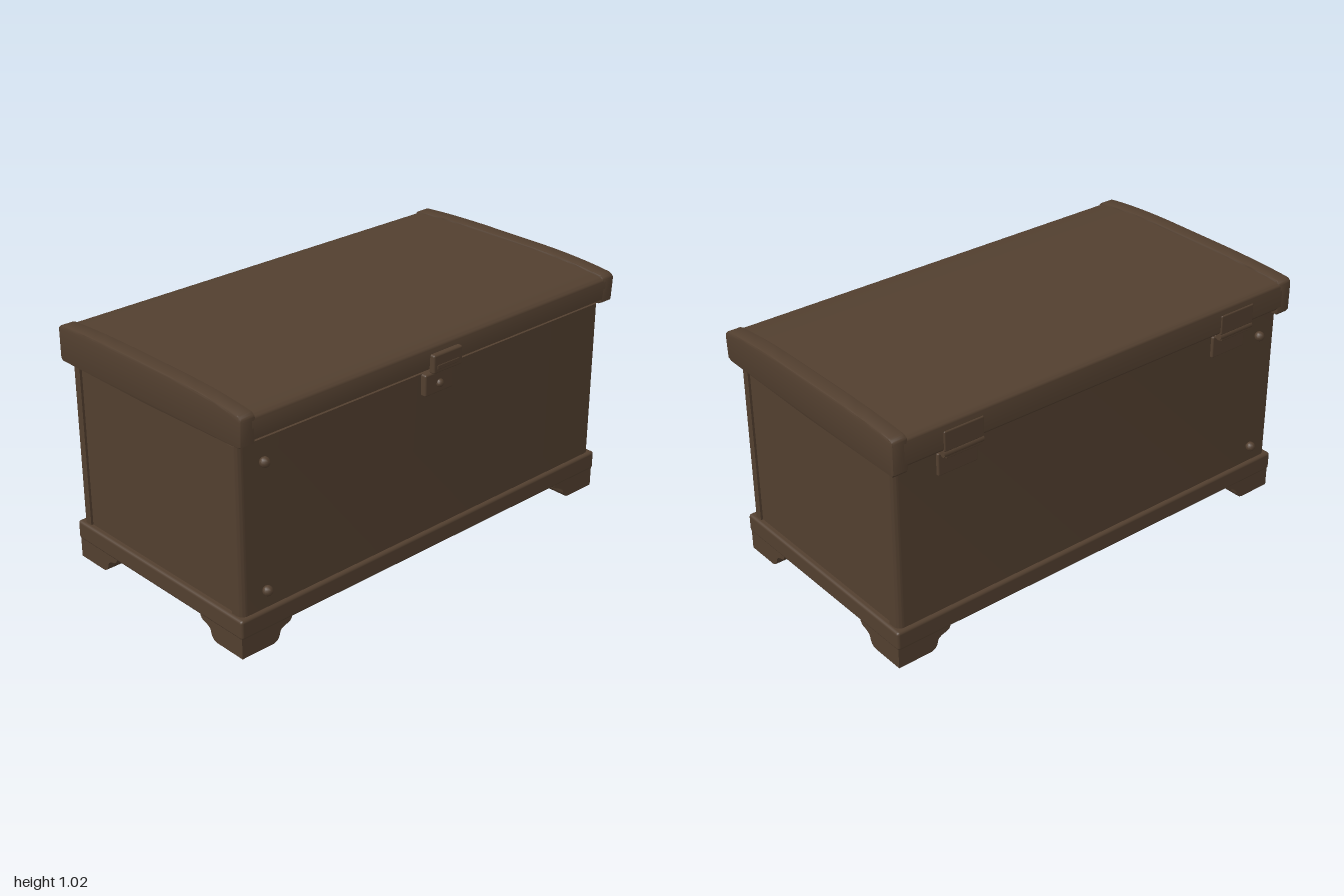
import * as THREE from 'three';
import { toCreasedNormals } from 'three/addons/utils/BufferGeometryUtils.js';
import { RoundedBoxGeometry } from 'three/addons/geometries/RoundedBoxGeometry.js';

export function createModel() {
  const chest = new THREE.Group();
  chest.name = 'chest';
  const brown = new THREE.MeshStandardMaterial({ color: 0x523f2f });
  brown.name = 'dark brown wood';
  const CX = -0.01, CZ = 0.005; // centre of the body

  const add = (name, geometry, x = 0, y = 0, z = 0, parent = chest) => {
    const mesh = new THREE.Mesh(geometry, brown);
    mesh.name = name;
    mesh.position.set(x, y, z);
    parent.add(mesh);
    return mesh;
  };
  const rounded = (w, h, d, r) => new RoundedBoxGeometry(w, h, d, 2, r);
  const extrude = (shape, depth, bevel = 0) => {
    const geo = new THREE.ExtrudeGeometry(shape, {
      depth: depth - 2 * bevel, curveSegments: 6, bevelEnabled: bevel > 0,
      bevelThickness: bevel, bevelSize: bevel, bevelOffset: -bevel, bevelSegments: 2,
    });
    geo.translate(0, 0, bevel);
    return toCreasedNormals(geo, 0.6);
  };

  // Body: rounded corner posts with slightly recessed end panels
  const X = 0.4975, Z = 0.98, r = 0.03, post = 0.055, inset = 0.01;
  const plan = new THREE.Shape();
  plan.moveTo(X, -Z + r);
  plan.lineTo(X, Z - r);
  plan.absarc(X - r, Z - r, r, 0, Math.PI / 2, false);
  plan.lineTo(X - post, Z);
  plan.lineTo(X - post, Z - inset);
  plan.lineTo(-X + post, Z - inset);
  plan.lineTo(-X + post, Z);
  plan.absarc(-X + r, Z - r, r, Math.PI / 2, Math.PI, false);
  plan.lineTo(-X, -Z + r);
  plan.absarc(-X + r, -Z + r, r, Math.PI, Math.PI * 1.5, false);
  plan.lineTo(-X + post, -Z);
  plan.lineTo(-X + post, -Z + inset);
  plan.lineTo(X - post, -Z + inset);
  plan.lineTo(X - post, -Z);
  plan.absarc(X - r, -Z + r, r, Math.PI * 1.5, Math.PI * 2, false);
  const body = extrude(plan, 0.722);
  body.rotateX(-Math.PI / 2);
  add('body', body, CX, 0.14, CZ);

  // Base moulding
  add('baseMoulding', rounded(1.03, 0.082, 1.99, 0.012), CX, 0.124, CZ);

  // Bracket feet: two curved brackets meeting at each corner
  const profile = new THREE.Shape();
  profile.moveTo(0, 0);
  profile.lineTo(0, 0.09);
  profile.lineTo(-0.243, 0.09);
  profile.lineTo(-0.243, 0.08);
  profile.quadraticCurveTo(-0.237, 0.063, -0.215, 0.06);
  profile.quadraticCurveTo(-0.185, 0.052, -0.183, 0.035);
  profile.quadraticCurveTo(-0.178, 0.003, -0.148, 0);
  const alongX = extrude(profile, 0.15);
  alongX.translate(0, 0, -0.15);
  const alongZ = alongX.clone().rotateY(-Math.PI / 2).translate(-0.15, 0, 0);
  [[1, 1], [1, -1], [-1, -1], [-1, 1]].forEach(([sx, sz], i) => {
    const foot = new THREE.Group();
    foot.name = 'foot' + (i + 1);
    foot.position.set(CX + sx * 0.508, 0, CZ + sz * 0.99);
    foot.rotation.y = i * Math.PI / 2;
    add('bracketAcross', alongX, 0, 0, 0, foot);
    add('bracketAlong', alongZ, 0, 0, 0, foot);
    chest.add(foot);
  });

  // Lid cross-section: gently domed, slightly raised on the latch side
  const lidShape = (lower, leftY, rightY) => {
    const s = new THREE.Shape();
    s.moveTo(-0.545, leftY);
    s.lineTo(0, leftY);
    s.lineTo(0.51, rightY);
    s.lineTo(0.53, rightY + 0.01);
    s.lineTo(0.535, 0.98 - lower);
    s.quadraticCurveTo(0.533, 0.997 - lower, 0.51, 1.003 - lower);
    s.quadraticCurveTo(0.35, 1.023 - lower, 0.15, 1.024 - lower);
    s.lineTo(-0.2, 1.024 - lower);
    s.quadraticCurveTo(-0.4, 1.022 - lower, -0.53, 1.012 - lower);
    s.quadraticCurveTo(-0.555, 1.008 - lower, -0.555, 0.99 - lower);
    s.lineTo(-0.555, leftY + 0.012);
    s.closePath();
    return s;
  };
  add('lidPanel', extrude(lidShape(0.008, 0.884, 0.887), 1.9), 0, 0, -0.95);
  const cap = extrude(lidShape(0, 0.86, 0.874), 0.068, 0.008);
  add('lidEndFront', cap, 0, 0, 0.932);
  add('lidEndBack', cap, 0, 0, -1);

  // Latch with a round button
  add('latchUpperPlate', rounded(0.03, 0.078, 0.155, 0.008), 0.54, 0.919, 0);
  add('latchLip', rounded(0.012, 0.02, 0.12, 0.004), 0.551, 0.905, 0);
  add('latchLowerPlate', rounded(0.04, 0.092, 0.155, 0.008), 0.492, 0.816, 0);
  add('latchButton', new THREE.SphereGeometry(0.018, 12, 8), 0.51, 0.81, 0);

  // Hinges
  for (const z of [-0.69, 0.69]) {
    const hinge = new THREE.Group();
    hinge.name = z > 0 ? 'hingeFront' : 'hingeBack';
    hinge.position.z = z;
    add('hingeUpperPlate', rounded(0.02, 0.085, 0.18, 0.006), -0.55, 0.925, 0, hinge);
    add('hingeLowerPlate', rounded(0.02, 0.095, 0.18, 0.006), -0.51, 0.81, 0, hinge);
    add('hingeLeaf', rounded(0.05, 0.014, 0.16, 0.004), -0.53, 0.857, 0, hinge);
    const barrel = new THREE.CylinderGeometry(0.014, 0.014, 0.18, 10).rotateX(Math.PI / 2);
    add('hingeBarrel', barrel, -0.546, 0.871, 0, hinge);
    chest.add(hinge);
  }

  // Round bolts near the front end of both long sides
  for (const x of [-0.524, 0.502]) {
    for (const y of [0.245, 0.775]) {
      add('bolt', new THREE.SphereGeometry(0.021, 10, 8), x, y, 0.87);
    }
  }
  return chest;
}
